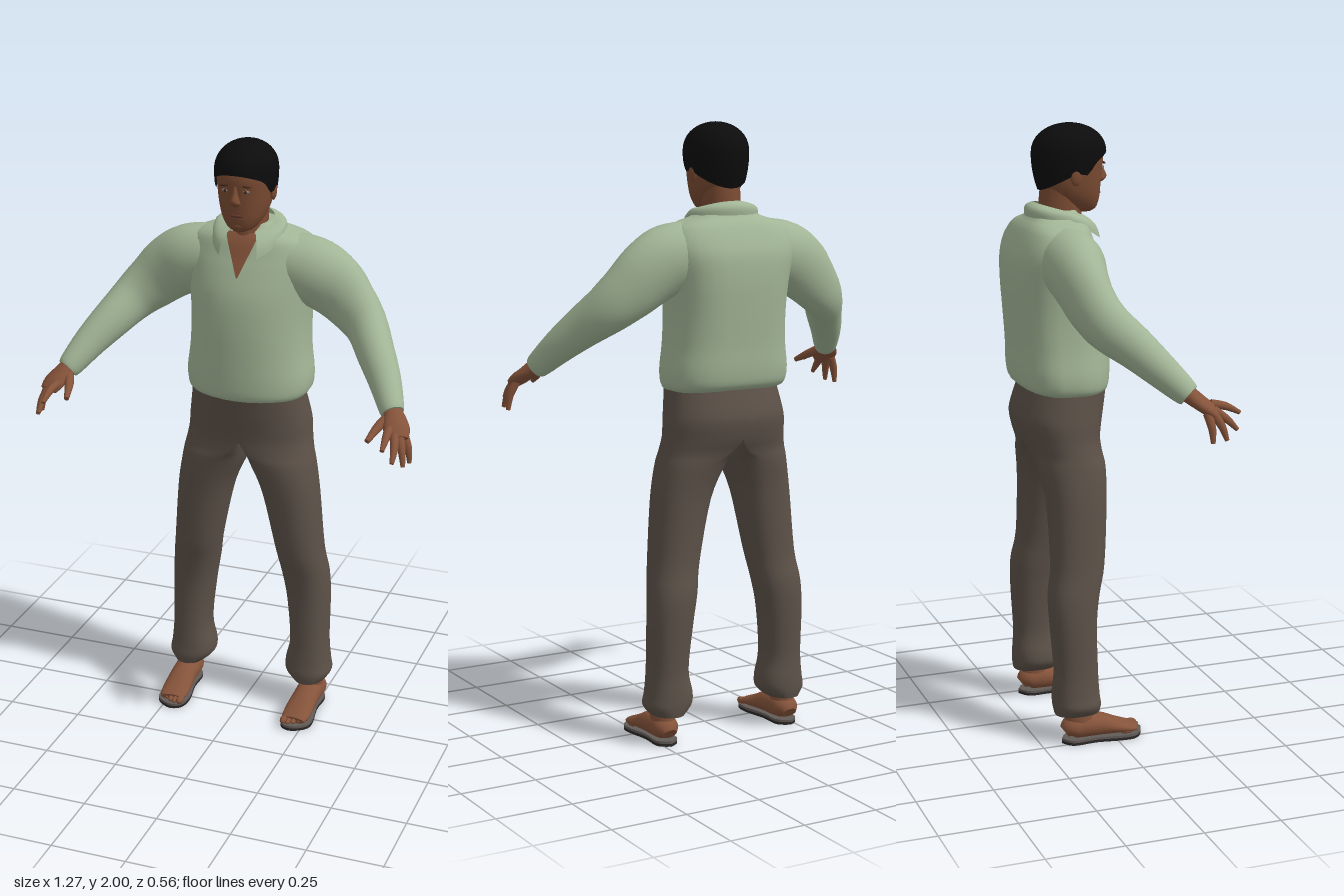
import * as THREE from 'three';

const mat = (name, color, side = THREE.FrontSide) =>
  Object.assign(new THREE.MeshStandardMaterial({ color, side }), { name });
const V = (x, y, z) => new THREE.Vector3(x, y, z);
const Y = V(0, 1, 0);

// Smoothly subdivide a short list of cross-sections
function refine(rows, steps) {
  const out = [], last = rows.length - 1;
  for (let i = 0; i < last; i++) {
    for (let k = 0; k < steps; k++) {
      const t = k / steps;
      out.push(rows[i].map((b, c) => {
        const a = rows[Math.max(i - 1, 0)][c], d = rows[i + 1][c], e = rows[Math.min(i + 2, last)][c];
        return b + 0.5 * t * (d - a + t * (2 * a - 5 * b + 4 * d - e + t * (3 * (b - d) + e - a)));
      }));
    }
  }
  out.push(rows[last]);
  return out;
}

// Skin rings { p, u, v, w } into a closed smooth body: centre, front half-axis u,
// half-axes v and w to either side; n and nBack set how square the two halves are
function skin(rings, n = 2, nBack = n, seg = 28) {
  const pos = [], idx = [];
  const addRing = r => {
    for (let j = 0; j < seg; j++) {
      const a = j / seg * Math.PI * 2, c = Math.cos(a), s = Math.sin(a), e = 2 / (c < 0 ? nBack : n);
      const pw = q => Math.abs(q) < 1e-9 ? 0 : Math.sign(q) * Math.abs(q) ** e;
      const q = r.p.clone().addScaledVector(r.u, pw(c)).addScaledVector(s < 0 ? r.w : r.v, pw(s));
      pos.push(q.x, q.y, q.z);
    }
  };
  rings.forEach(addRing);
  for (let i = 0; i < rings.length - 1; i++) for (let j = 0; j < seg; j++) {
    const a = i * seg + j, b = i * seg + (j + 1) % seg;
    idx.push(a, b, b + seg, a, b + seg, a + seg);
  }
  for (const [r, flip] of [[rings[0], true], [rings[rings.length - 1], false]]) {
    const s = pos.length / 3;
    addRing(r);
    pos.push(r.p.x, r.p.y, r.p.z);
    for (let j = 0; j < seg; j++) {
      const a = s + j, b = s + (j + 1) % seg;
      idx.push(...(flip ? [b, a, s + seg] : [a, b, s + seg]));
    }
  }
  return geometry(pos, idx);
}

function geometry(pos, idx) {
  const g = new THREE.BufferGeometry();
  g.setAttribute('position', new THREE.Float32BufferAttribute(pos, 3));
  g.setIndex(idx);
  g.computeVertexNormals();
  return g;
}

// Grid surface from a point function f(u, v)
function sheet(f, nu, nv) {
  const pos = [], idx = [], w = nu + 1;
  for (let j = 0; j <= nv; j++) for (let i = 0; i <= nu; i++) pos.push(...f(i / nu, j / nv));
  for (let j = 0; j < nv; j++) for (let i = 0; i < nu; i++) {
    const a = j * w + i;
    idx.push(a, a + 1, a + w + 1, a, a + w + 1, a + w);
  }
  return geometry(pos, idx);
}

// Upright body; rows are [y, x centre, -x radius, +x radius, z back, z front]
const upright = (rows, n, nBack) => skin(refine(rows, 4).map(([y, x, rw, rv, z0, z1]) => ({
  p: V(x, y, (z0 + z1) / 2), u: V(0, 0, (z1 - z0) / 2), v: V(rv, 0, 0), w: V(rw, 0, 0) })), n, nBack);
const sym = (rows, x = 0) => rows.map(([y, rx, z0, z1]) => [y, x, rx, rx, z0, z1]);

// Limb along a path; rows are [x, y, z, side radius, height radius], s mirrors it
function limb(rows, s, seg = 20) {
  const r = refine(rows, 4), p = r.map(([x, y, z]) => V(x * s, y, z));
  return skin(r.map((q, i) => {
    const t = p[Math.min(i + 1, p.length - 1)].clone().sub(p[Math.max(i - 1, 0)]).normalize();
    const u = t.clone().cross(Y).normalize(), v = t.clone().cross(u).multiplyScalar(q[4]);
    return { p: p[i], u: u.multiplyScalar(q[3]), v, w: v };
  }), 2, 2, seg);
}

const TORSO = [
  [1.15, .185, -.215, .03], [1.17, .205, -.25, .043], [1.22, .21, -.262, .047], [1.3, .2, -.266, .048],
  [1.4, .197, -.274, .047], [1.5, .205, -.28, .037], [1.58, .22, -.276, .012], [1.63, .22, -.26, -.008],
  [1.67, .2, -.24, -.022], [1.69, .165, -.225, -.032], [1.705, .115, -.21, -.042], [1.73, .075, -.19, -.052]];
const ARM = [
  [.07, 1.6, -.13, .09, .09], [.14, 1.592, -.13, .1, .102], [.215, 1.57, -.128, .098, .112],
  [.28, 1.532, -.128, .084, .107], [.34, 1.48, -.118, .072, .094], [.4, 1.425, -.088, .066, .08],
  [.455, 1.362, -.018, .06, .067], [.505, 1.3, .045, .052, .055], [.545, 1.24, .105, .041, .043],
  [.555, 1.226, .119, .036, .036]];
// Trouser half: [y, x centre, inner radius, outer radius, z back, z front]
const LEG = [
  [.1, .22, .052, .052, -.2, -.05], [.13, .215, .078, .078, -.204, -.046], [.17, .211, .077, .077, -.204, -.05],
  [.25, .215, .066, .066, -.2, -.055], [.4, .208, .073, .073, -.21, -.057], [.5, .197, .079, .079, -.212, -.045],
  [.6, .181, .081, .081, -.197, -.022], [.8, .15, .095, .095, -.2, -.005], [.91, .105, .097, .124, -.216, .004],
  [.955, .04, .04, .18, -.228, .006], [1, 0, 0, .212, -.248, .009], [1.05, 0, 0, .208, -.26, .016],
  [1.09, 0, 0, .202, -.257, .023], [1.17, 0, 0, .188, -.232, .035]];
const FOOT = [
  [.23, .04, -.172, .025, .02], [.23, .053, -.15, .042, .036], [.228, .056, -.11, .045, .042],
  [.227, .051, -.05, .045, .037], [.225, .04, 0, .048, .026], [.224, .031, .045, .047, .017],
  [.223, .027, .07, .04, .012]];

export function createModel() {
  const model = new THREE.Group();
  const shirt = mat('sage shirt', 0xa2b596, THREE.DoubleSide), cloth = mat('brown trousers', 0x5c5148);
  const skinMat = mat('skin', 0x85533a, THREE.DoubleSide), face = mat('face skin', 0x7a4b32);
  const hair = mat('black hair', 0x0c0c0d, THREE.DoubleSide), lip = mat('lips', 0x673a2e);
  const eyeMat = mat('eye white', 0x8c7e75), brow = mat('brow brown', 0x3f281d);
  const sole = mat('dark sole', 0x2c2827), insole = mat('grey insole', 0x625b58);
  const add = (name, geo, m, parent = model) => {
    const mesh = new THREE.Mesh(geo, m);
    mesh.name = name;
    parent.add(mesh);
    return mesh;
  };
  const ball = (name, m, x, y, z, a, b, c) => {
    const mesh = add(name, new THREE.SphereGeometry(1, 16, 12), m);
    mesh.position.set(x, y, z);
    mesh.scale.set(a, b, c);
    return mesh;
  };

  // Shirt body with broad back, open neckline and collar
  add('shirtBody', upright(sym(TORSO), 2.1, 2.9), shirt);
  const rows = refine(TORSO, 4);
  const chestZ = (x, y) => {
    const i = Math.max(1, rows.findIndex(r => r[0] >= y)), a = rows[i - 1], b = rows[i];
    const t = (y - a[0]) / (b[0] - a[0]), [, rx, z0, z1] = a.map((q, k) => q + (b[k] - q) * t);
    return (z0 + z1) / 2 + (z1 - z0) / 2 * (1 - Math.abs(x / rx) ** 2.1) ** (1 / 2.1);
  };
  add('openNeckline', sheet((u, v) => {
    const y = 1.57 + .135 * v, x = (u * 2 - 1) * (.002 + .055 * v);
    return [x, y, chestZ(x, y) + .006];
  }, 8, 12), skinMat);
  add('collar', sheet((u, v) => {
    const a = .55 + u * (Math.PI * 2 - 1.1), c = Math.cos(a), f = Math.max(0, c), k = 1 - v;
    const bulge = Math.sin(v * Math.PI) * .012;
    return [Math.sin(a) * (.078 + .042 * k + bulge), (1.732 - .022 * c) * v + (1.71 - .085 * f) * k + bulge * .6,
      -.108 + c * (.08 + (c < 0 ? .026 : .06) * k + bulge)];
  }, 40, 6), shirt);

  // Neck and head
  add('neck', upright(sym([[1.6, .06, -.17, -.05], [1.68, .06, -.175, -.031], [1.74, .06, -.172, -.035],
    [1.8, .062, -.166, -.04]])), face);
  add('head', upright(sym([[1.718, .022, -.04, .0], [1.73, .044, -.08, .016], [1.76, .066, -.125, .026],
    [1.8, .08, -.16, .03], [1.85, .087, -.175, .034], [1.9, .089, -.178, .038], [1.95, .076, -.16, .02],
    [1.98, .045, -.12, -.02]]), 2.2), face);
  add('nose', upright(sym([[1.808, .008, .02, .036], [1.818, .018, .018, .05], [1.83, .015, .018, .055],
    [1.85, .009, .02, .046], [1.875, .008, .02, .038]])), face);
  ball('mouth', lip, 0, 1.777, .024, .025, .006, .007);
  ball('chin', face, 0, 1.743, .008, .026, .016, .015);
  for (const s of [1, -1]) {
    ball('ear', face, s * .088, 1.842, -.078, .01, .032, .02);
    ball('eye', eyeMat, s * .034, 1.858, .028, .013, .005, .005);
    ball('iris', brow, s * .034, 1.858, .031, .005, .005, .004);
    ball('eyebrow', brow, s * .036, 1.875, .031, .019, .003, .005).rotation.z = -s * .1;
  }

  // Hair cap: lower at the back, with sideburns before the ears
  add('hair', sheet((u, v) => {
    const a = u * Math.PI * 2, c = Math.cos(a), burn = Math.exp(-(((Math.abs(Math.PI - a) - 1.85) / .2) ** 2));
    const hem = 1.852 + .06 * c - .025 * burn;
    const y = hem + (2 - hem) * Math.sin(v * Math.PI / 2), d = y - 1.905;
    const f = d < 0 ? 1 - .17 * (d / .115) ** 2 : Math.sqrt(Math.max(0, 1 - (d / .095) ** 2.2));
    return [Math.sin(a) * .1 * f, y, -.072 + c * .122 * f];
  }, 48, 16), hair);

  for (const s of [1, -1]) {
    const side = s > 0 ? 'left' : 'right';
    add(side + 'Sleeve', limb(ARM, s, 28), shirt);

    // Trouser half: a round leg that opens into half of the seat, joined at x = 0
    const trousers = upright(LEG.map(([y, x, a, b, ...z]) => [y, s * x, ...(s > 0 ? [a, b] : [b, a]), ...z]), 2.25);
    const p = trousers.attributes.position, nrm = trousers.attributes.normal;
    for (let i = 0; i < p.count; i++) if (Math.abs(p.getX(i)) < .002) {
      const l = Math.hypot(nrm.getY(i), nrm.getZ(i)) || 1;
      nrm.setXYZ(i, 0, nrm.getY(i) / l, nrm.getZ(i) / l);
    }
    add(side + 'TrouserLeg', trousers, cloth);

    // Hand: palm, four fingers and thumb
    const hand = new THREE.Group();
    hand.name = side + 'Hand';
    model.add(hand);
    add('palm', limb([[.54, 1.248, .095, .03, .028], [.556, 1.228, .12, .031, .026], [.572, 1.207, .146, .039, .023],
      [.583, 1.19, .168, .042, .021], [.592, 1.172, .19, .034, .015]], s), skinMat, hand);
    const fingers = [
      [[.563, 1.196, .187], [.568, 1.186, .235], [.57, 1.163, .281]],
      [[.582, 1.182, .188], [.594, 1.152, .228], [.597, 1.117, .262]],
      [[.597, 1.176, .18], [.612, 1.137, .204], [.621, 1.092, .219]],
      [[.604, 1.178, .16], [.622, 1.135, .168], [.628, 1.088, .17]],
      [[.55, 1.22, .125], [.525, 1.195, .175], [.508, 1.168, .235]]];
    fingers.forEach((f, i) => add(i < 4 ? 'finger' : 'thumb', limb(f.map((q, k) => {
      const r = [.0145, .0125, .007][k] * (i === 4 ? 1.2 : 1);
      return [...q, r, r];
    }), s, 10), skinMat, hand));

    // Bare foot on a flat sandal
    const foot = new THREE.Group();
    foot.name = side + 'Foot';
    model.add(foot);
    add('foot', limb(FOOT, s), skinMat, foot);
    add('ankle', upright(sym([[.04, .038, -.17, -.07], [.09, .038, -.168, -.072], [.15, .038, -.165, -.085]],
      s * .229)), skinMat, foot);
    for (let i = 0; i < 5; i++) {
      const r = i ? .0095 : .013;
      const toe = add('toe', new THREE.SphereGeometry(1, 12, 8), skinMat, foot);
      toe.position.set(s * (.191 + i * .0168), .024, .072 - .0025 * i * i + (i ? .004 : 0));
      toe.scale.set(r, r, .022);
    }
    const outline = new THREE.Shape(new THREE.SplineCurve([
      [.23, -.181], [.266, -.15], [.264, -.07], [.278, .02], [.27, .068], [.222, .098], [.183, .08],
      [.174, .02], [.19, -.07], [.192, -.15], [.23, -.181]
    ].map(([x, z]) => new THREE.Vector2(x * s, -z))).getPoints(50));
    [['sole', sole, 0, .009], ['insole', insole, .009, .008]].forEach(([name, m, y, depth]) => {
      const g = new THREE.ExtrudeGeometry(outline, { depth, bevelEnabled: false });
      add(name, g.rotateX(-Math.PI / 2).translate(0, y, 0), m, foot);
    });
  }
  return model;
}
